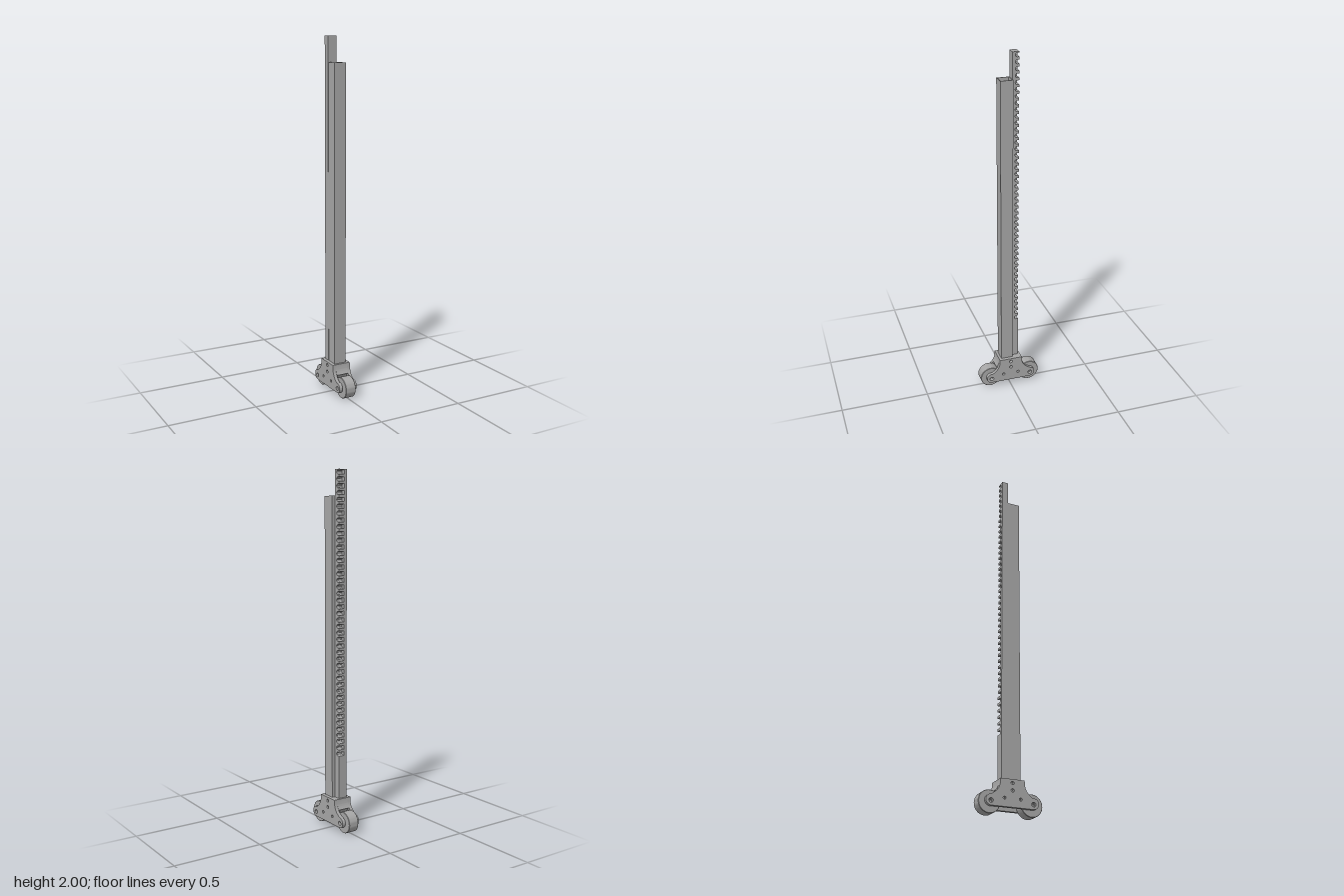
import * as THREE from 'three';
import { toCreasedNormals } from 'three/addons/utils/BufferGeometryUtils.js';

export function createModel() {
  const group = new THREE.Group();
  const grey = new THREE.MeshStandardMaterial({ color: 0xa6a6a6 });
  grey.name = 'grey metal';

  const add = (name, geometry) => {
    const mesh = new THREE.Mesh(geometry, grey);
    mesh.name = name;
    group.add(mesh);
    return mesh;
  };
  // Extrude a side profile (X = -z, Y = y) across x from x0 to x1
  const across = (shape, x0, x1) => {
    const g = new THREE.ExtrudeGeometry(shape, { depth: x1 - x0, bevelEnabled: false, curveSegments: 16 });
    g.translate(0, 0, x0).rotateY(Math.PI / 2);
    return toCreasedNormals(g, 0.5);
  };
  const box = (name, x0, x1, y0, y1, z0, z1) =>
    add(name, new THREE.BoxGeometry(x1 - x0, y1 - y0, z1 - z0)
      .translate((x0 + x1) / 2, (y0 + y1) / 2, (z0 + z1) / 2));
  const hole = (shape, x, y, r) => {
    const p = new THREE.Path();
    p.absarc(x, y, r, 0, Math.PI * 2, true);
    shape.holes.push(p);
  };

  const axleZ = 0.118, axleY = 0.061;

  // Square post, open at the top
  const postShape = new THREE.Shape();
  const square = (p, h) => {
    p.moveTo(-h, -h).lineTo(h, -h).lineTo(h, h).lineTo(-h, h).closePath();
    return p;
  };
  square(postShape, 0.035);
  postShape.holes.push(square(new THREE.Path(), 0.031));
  const post = new THREE.ExtrudeGeometry(postShape, { depth: 1.72, bevelEnabled: false });
  post.rotateX(-Math.PI / 2).translate(0, 0.14, 0.018);
  add('post', post);

  // Rack: plain side strip, plus a strip with round notches in its back edge
  box('rackBack', -0.036, -0.018, 0.14, 2, -0.055, -0.018);
  const rack = new THREE.Shape();
  const pitch = 0.036, r = 0.011, front = 0.018, back = 0.055, root = 0.044;
  rack.moveTo(front, 0.14);
  rack.lineTo(back, 0.14);
  for (let i = 0; i < 44; i++) {
    const y = 0.436 + i * pitch;
    rack.lineTo(back, y - r);
    rack.lineTo(root, y - r);
    rack.absarc(root, y, r, -Math.PI / 2, Math.PI / 2, true);
    rack.lineTo(back, y + r);
  }
  rack.lineTo(back, 2);
  rack.lineTo(front, 2);
  rack.closePath();
  add('rackTeeth', across(rack, -0.018, 0.016));

  // Side plates of the carriage, with bolt and axle holes
  const plate = new THREE.Shape();
  plate.moveTo(-axleZ, 0.035);
  plate.lineTo(axleZ, 0.035);
  plate.absarc(axleZ, 0.064, 0.029, -Math.PI / 2, Math.PI * 0.45, false);
  plate.quadraticCurveTo(0.072, 0.115, 0.068, 0.16);
  plate.lineTo(0.067, 0.18);
  plate.lineTo(-0.067, 0.18);
  plate.lineTo(-0.068, 0.16);
  plate.quadraticCurveTo(-0.072, 0.115, -axleZ + 0.0045, 0.0926);
  plate.absarc(-axleZ, 0.064, 0.029, Math.PI * 0.55, Math.PI * 1.5, false);
  for (const s of [-1, 1]) {
    hole(plate, s * axleZ, axleY, 0.012);
    hole(plate, s * 0.045, 0.08, 0.008);
  }
  hole(plate, 0, 0.16, 0.009);
  hole(plate, 0, 0.122, 0.009);
  add('leftPlate', across(plate, 0.036, 0.055));
  add('rightPlate', across(plate, -0.055, -0.036));

  // Core between the plates, cut back around the wheels
  const core = new THREE.Shape();
  core.moveTo(-0.05, 0.06);
  core.lineTo(0.05, 0.06);
  core.quadraticCurveTo(0.053, 0.105, 0.083, 0.123);
  core.quadraticCurveTo(0.071, 0.14, 0.068, 0.16);
  core.lineTo(0.067, 0.18);
  core.lineTo(-0.067, 0.18);
  core.lineTo(-0.068, 0.16);
  core.quadraticCurveTo(-0.071, 0.14, -0.083, 0.123);
  core.quadraticCurveTo(-0.053, 0.105, -0.05, 0.06);
  add('carriageCore', across(core, -0.036, 0.036));

  // Wheels with projecting hubs and a through bore
  const profile = [
    [0.010, -0.037], [0.018, -0.037], [0.018, -0.031], [0.058, -0.031], [0.06, -0.029],
    [0.06, 0.029], [0.058, 0.031], [0.018, 0.031], [0.018, 0.037], [0.010, 0.037], [0.010, -0.037],
  ].map(([a, b]) => new THREE.Vector2(a, b));
  for (const s of [1, -1]) {
    const g = toCreasedNormals(new THREE.LatheGeometry(profile, 48), 0.6);
    g.rotateZ(Math.PI / 2).translate(0, 0.06, s * axleZ);
    add(s > 0 ? 'frontWheel' : 'backWheel', g);
  }
  return group;
}
